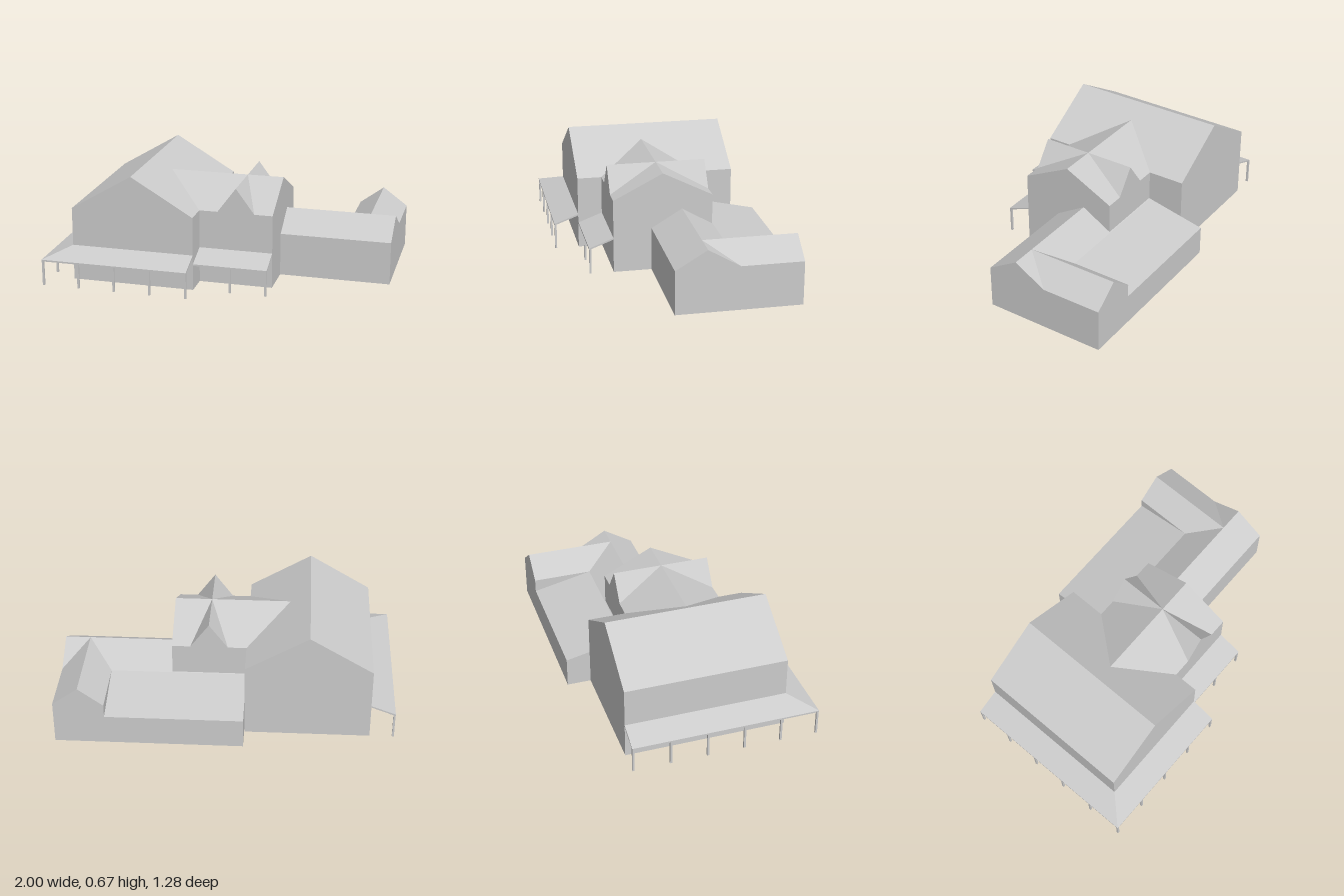
import * as THREE from 'three';
import { ConvexGeometry } from 'three/addons/geometries/ConvexGeometry.js';

const material = new THREE.MeshStandardMaterial({ color: 0xcccccc, flatShading: true });

export function createModel() {
  const house = new THREE.Group();
  house.name = 'farmhouse';
  // the whole building sits slightly turned on its plot
  house.rotation.y = 0.015;

  const add = (name, geometry, parent = house) => {
    const mesh = new THREE.Mesh(geometry, material);
    mesh.name = name;
    parent.add(mesh);
    return mesh;
  };
  const outline = (pts) => new THREE.Shape(pts.map(([a, b]) => new THREE.Vector2(a, b)));

  // solid with an (x, y) profile running from z0 to z1
  const alongZ = (pts, z0, z1) =>
    new THREE.ExtrudeGeometry(outline(pts), { depth: z1 - z0, bevelEnabled: false }).translate(0, 0, z0);

  // solid with a (z, y) profile running from x0 to x1
  const alongX = (pts, x0, x1) =>
    new THREE.ExtrudeGeometry(outline(pts.map(([z, y]) => [-z, y])), { depth: x1 - x0, bevelEnabled: false })
      .rotateY(Math.PI / 2).translate(x0, 0, 0);

  // five-cornered gable profile
  const gable = (a, b, peak, eave, ridge) => [[a, 0], [b, 0], [b, eave], [peak, ridge], [a, eave]];

  // main barn with its ridge running front to back
  add('mainBarn', alongZ(gable(-0.848, -0.108, -0.479, 0.445, 0.665), -0.487, 0.477));

  // middle wing and the cross gable that cuts through it
  add('middleWing', alongX(gable(-0.263, 0.33, 0.035, 0.445, 0.595), -0.4, 0.333));
  add('crossGable', alongZ([[0.002, 0.445], [0.224, 0.445], [0.113, 0.595]], -0.263, 0.33));

  // low wing, whose rear roof flattens into a lean-to
  add('lowWing', alongX(
    [[0.103, 0], [0.103, 0.26], [-0.08, 0.37], [-0.268, 0.26], [-0.63, 0.18], [-0.63, 0]], -0.107, 0.997));
  add('rearWing', alongZ(gable(0.7, 0.997, 0.847, 0.26, 0.37), -0.63, -0.08));

  // porch roofs: thin sloping slabs given by their top corners
  const HIGH = 0.215, LOW = 0.16, THICK = 0.01;
  const slab = (corners) => new ConvexGeometry(corners.flatMap(([x, y, z]) =>
    [new THREE.Vector3(x, y, z), new THREE.Vector3(x, y - THICK, z)]));
  const porch = new THREE.Group();
  porch.name = 'porch';
  house.add(porch);
  add('sidePorchRoof', slab([
    [-0.848, HIGH, -0.487], [-0.848, HIGH, 0.477], [-0.993, LOW, 0.625], [-0.993, LOW, -0.487]]), porch);
  add('frontPorchRoof', slab([
    [-0.848, HIGH, 0.477], [-0.108, HIGH, 0.477], [-0.108, LOW, 0.625], [-0.993, LOW, 0.625]]), porch);
  add('middlePorchRoof', slab([
    [-0.108, HIGH, 0.33], [0.333, HIGH, 0.33], [0.333, LOW, 0.475], [-0.108, LOW, 0.475]]), porch);

  // porch posts
  const W = 0.012, H = 0.153;
  const postGeometry = new THREE.BoxGeometry(W, H, W).translate(0, H / 2, 0);
  const post = (x, z) => add('porchPost', postGeometry, porch).position.set(x, 0, z);
  for (let i = 0; i < 5; i++) post(-0.986 + i * 0.218, 0.618);
  for (let i = 1; i < 6; i++) post(-0.986, 0.618 - i * 0.2198);
  for (const x of [0.112, 0.326]) post(x, 0.468);

  const group = new THREE.Group();
  group.add(house);
  return group;
}
